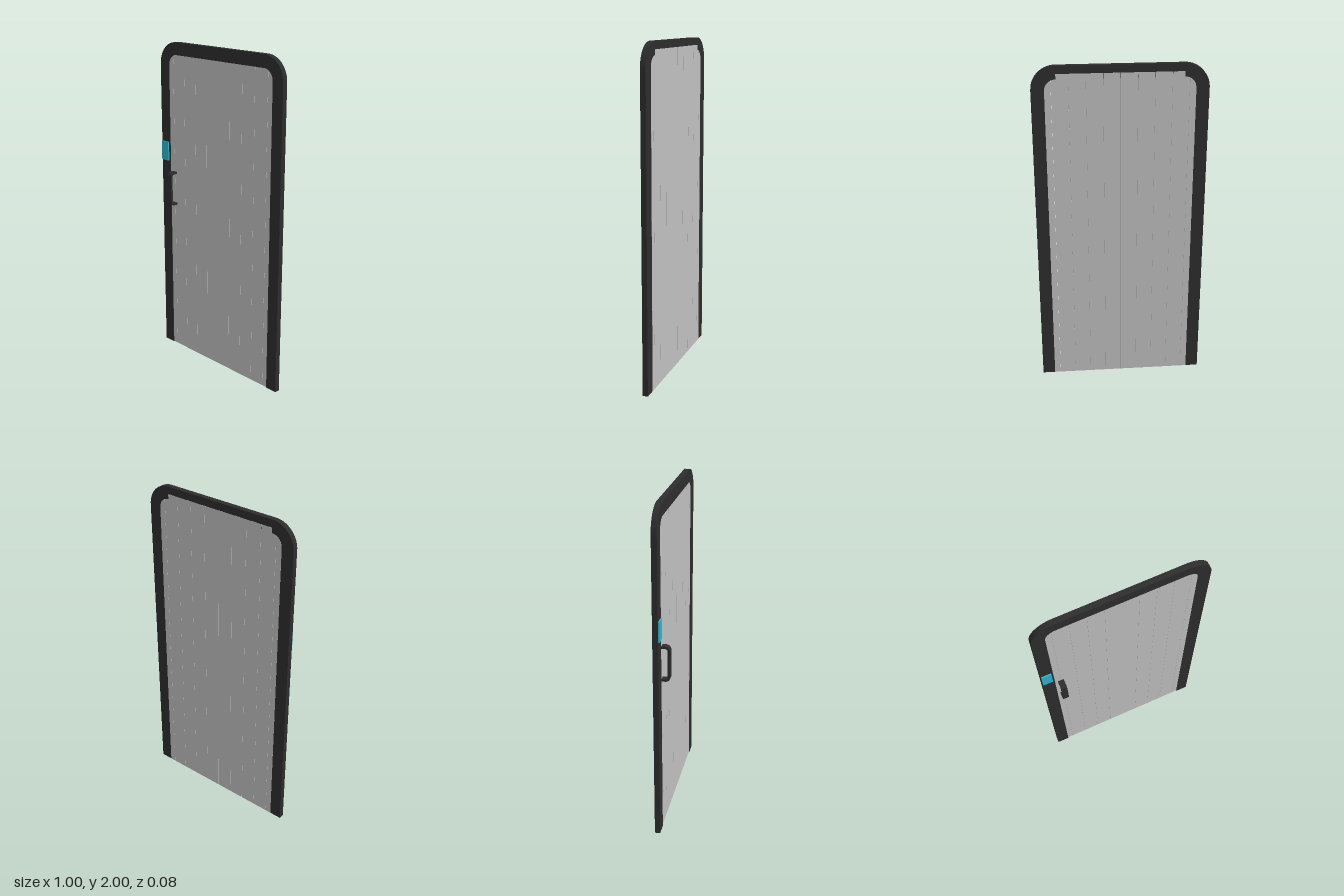
import * as THREE from 'three';

const W = 0.5, BAR = 0.075, R = 0.14;          // frame half width, bar width, corner radius
const CX = W - R, CY = 2 - R, RI = R - BAR;    // corner centre and inner radius
const FRONT = -0.008, BACK = -0.04;

const material = (name, color) => {
  const m = new THREE.MeshStandardMaterial({ color });
  m.name = name;
  return m;
};

// Extrudes a shape in the xy plane between two depths
function slab(name, shape, z0, z1, mat) {
  const g = new THREE.ExtrudeGeometry(shape, { depth: z1 - z0, bevelEnabled: false, curveSegments: 12 });
  const mesh = new THREE.Mesh(g.translate(0, 0, z0), mat);
  mesh.name = name;
  return mesh;
}

// Upside-down U with rounded corners
function frameShape() {
  const s = new THREE.Shape();
  s.moveTo(W, 0);
  s.lineTo(W, CY);
  s.absarc(CX, CY, R, 0, Math.PI / 2, false);
  s.absarc(-CX, CY, R, Math.PI / 2, Math.PI, false);
  s.lineTo(-W, 0);
  s.lineTo(-W + BAR, 0);
  s.lineTo(-W + BAR, CY);
  s.absarc(-CX, CY, RI, Math.PI, Math.PI / 2, true);
  s.absarc(CX, CY, RI, Math.PI / 2, 0, true);
  s.lineTo(W - BAR, 0);
  return s;
}

// Vertical slat whose top follows the corner of the opening
function slatShape(x0, x1) {
  const s = new THREE.Shape();
  s.moveTo(x0, 0);
  s.lineTo(x1, 0);
  if (x1 <= CX) {
    s.lineTo(x1, 1.955);
  } else {
    const start = Math.max(x0, CX);
    for (let i = 0; i <= 8; i++) {
      const x = x1 + (start - x1) * i / 8;
      s.lineTo(x, CY + Math.sqrt(Math.max(0, RI * RI - (x - CX) ** 2)));
    }
    if (x0 < CX) s.lineTo(CX, 1.955);
  }
  if (x0 < CX) s.lineTo(x0, 1.955);
  return s;
}

// Bent strap profile: u runs outwards, v upwards
function handleShape() {
  const s = new THREE.Shape();
  const h = 0.108, out = 0.05, r = 0.028, t = 0.014, ri = r - t;
  s.moveTo(0, -h);
  s.lineTo(out - r, -h);
  s.absarc(out - r, -h + r, r, -Math.PI / 2, 0, false);
  s.absarc(out - r, h - r, r, 0, Math.PI / 2, false);
  s.lineTo(0, h);
  s.lineTo(0, h - t);
  s.absarc(out - r, h - r, ri, Math.PI / 2, 0, true);
  s.absarc(out - r, -h + r, ri, 0, -Math.PI / 2, true);
  s.lineTo(0, -h + t);
  return s;
}

export function createModel() {
  const model = new THREE.Group();
  model.name = 'door';
  const dark = material('dark frame', 0x2d2d2d);
  const grey = material('light grey panel', 0xbfbfbf);
  const cyan = material('cyan plate', 0x29b6d0);

  model.add(slab('frame', frameShape(), BACK, FRONT, dark));

  // Panel of narrow slats, mirrored about the middle
  const panel = new THREE.Group();
  panel.name = 'panel';
  const step = 0.097, gap = 0.0004;
  for (let i = 0; i < 5; i++) {
    const x0 = i * step + gap, x1 = Math.min((i + 1) * step - gap, W - BAR);
    const right = slab('slat', slatShape(x0, x1), BACK - 0.0005, -0.012, grey);
    const left = right.clone();
    left.rotation.y = Math.PI;                 // half turn about the slat mid-depth
    left.position.z = BACK - 0.0005 - 0.012;
    panel.add(right, left);
  }
  model.add(panel);

  // Pull handle, turned so the strap stands out from the front
  const handle = slab('handle', handleShape(), -0.018, 0.018, dark);
  handle.rotation.y = -Math.PI / 2;
  handle.position.set(-0.39, 1.09, -0.012);
  model.add(handle);

  // Small coloured plate on the frame
  const plate = new THREE.Mesh(new THREE.BoxGeometry(0.06, 0.12, 0.008), cyan);
  plate.name = 'lockPlate';
  plate.position.set(-0.466, 1.32, -0.004);
  model.add(plate);

  return model;
}
